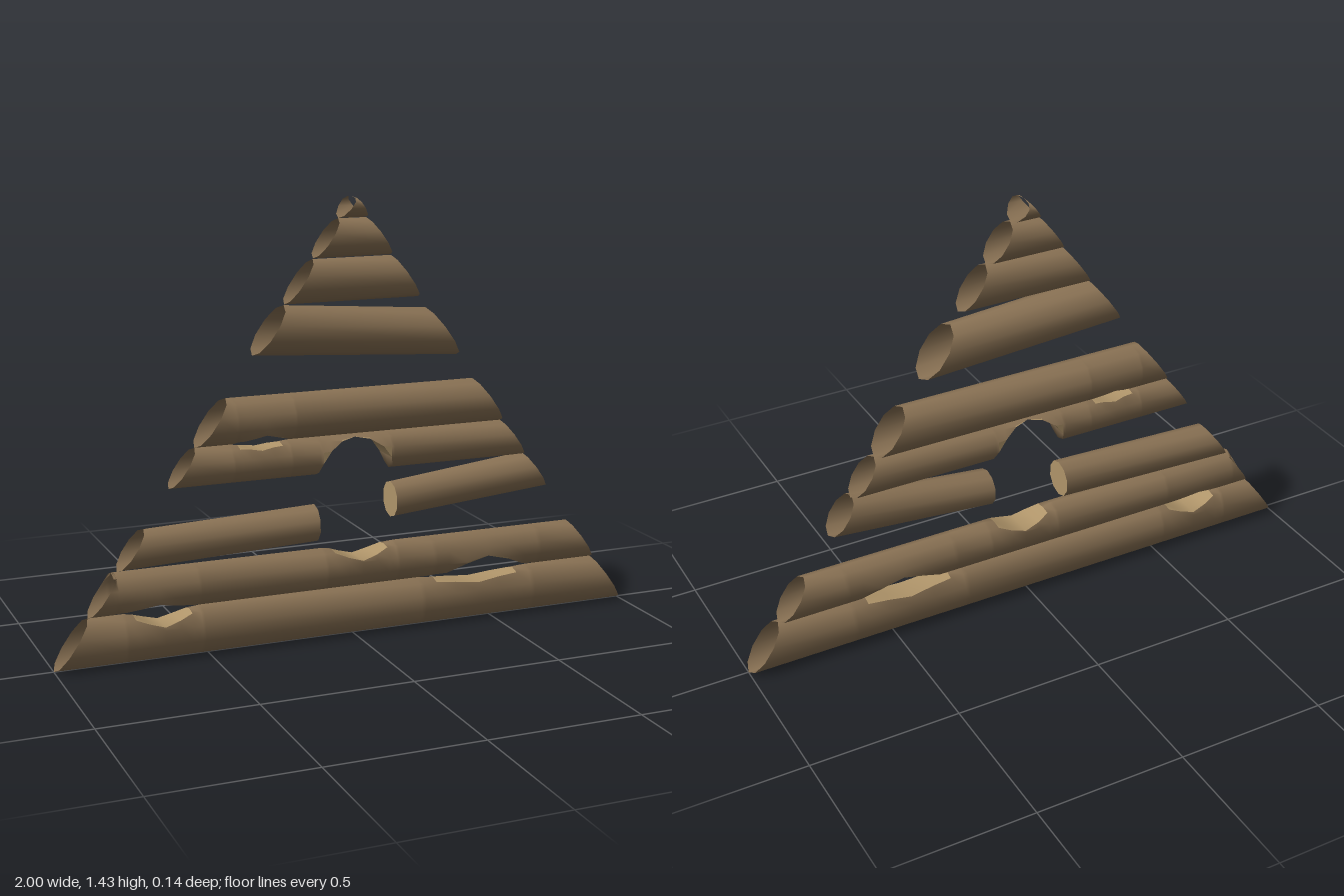
import * as THREE from 'three';

const SIDES = 10;
const PEAK = 1.435;
const bark = new THREE.MeshStandardMaterial({ color: 0x8b7355, side: THREE.DoubleSide });
bark.name = 'bark';
const cutWood = new THREE.MeshStandardMaterial({ color: 0xb0956a, side: THREE.DoubleSide });
cutWood.name = 'cutWood';

const lerp = THREE.MathUtils.lerp;

// Half width of the gable at a height; slanted log ends follow it
const gable = (y) => 1 - y / PEAK;

// Notch profiles, running from 0 at u = -1 and 1 to full depth at u = 0
const hollow = (u) => (1 + Math.cos(u * Math.PI)) / 2;
const arch = (u) => Math.sqrt(Math.max(0, 1 - u * u));

// A notch centred on x; a positive depth cuts down from the top, a negative one up from the bottom
const notch = (x, half, depth, profile = hollow) => ({ x, half, depth, profile });

// A hollow log. left and right give [bottom, top] at the -x and +x ends;
// sawn gives the x of a straight, closed end on the side named by its sign.
function makeLog(name, left, right, depth, { notches = [], sawn = 0, mid = 0.5 } = {}) {
  const endX = (side, y) => (Math.sign(sawn) === side ? Math.abs(sawn) * -side : side * gable(y));
  const x0 = endX(-1, (left[0] + left[1]) / 2), x1 = endX(1, (right[0] + right[1]) / 2);

  // Cross-sections: both ends, plus a few across each notch
  const xs = new Set();
  for (const n of notches) {
    for (let k = -4; k <= 4; k++) xs.add(n.x + n.half * Math.sin((k * Math.PI) / 8));
  }
  const stations = [x0, ...[...xs].sort((a, b) => a - b), x1];
  const last = stations.length - 1;
  const pos = [], clipped = [];

  stations.forEach((s, i) => {
    const f = (s - x0) / (x1 - x0);
    const bottom = lerp(left[0], right[0], f), top = lerp(left[1], right[1], f);
    const centre = lerp(bottom, top, mid);
    const end = i === 0 ? -1 : i === last ? 1 : 0;
    let upper = top, lower = bottom;
    for (const n of notches) {
      const u = (s - n.x) / n.half;
      if (Math.abs(u) >= 1) continue;
      const d = n.depth * n.profile(u);
      if (d > 0) upper = top - d;
      else lower = bottom - d;
    }
    for (let j = 0; j < SIDES; j++) {
      const a = Math.PI / 2 + (j / SIDES) * Math.PI * 2;
      const sin = Math.sin(a);
      const round = centre + sin * (sin > 0 ? top - centre : centre - bottom);
      const y = THREE.MathUtils.clamp(round, lower, upper);
      const isCut = Math.abs(y - round) > 1e-6;
      let z = Math.cos(a) * depth;
      // Slide clipped corners out to the round of the log
      if (isCut && Math.abs(z) > 1e-6) {
        const h = (y - centre) / (y > centre ? top - centre : centre - bottom);
        z = Math.sign(z) * depth * arch(h);
      }
      pos.push(end ? endX(end, y) : s, y, z);
      clipped.push(isCut ? 1 : 0);
    }
  });

  // Skin, sorted into bark and carved faces
  const barkFaces = [], cutFaces = [];
  for (let i = 0; i < last; i++) {
    for (let j = 0; j < SIDES; j++) {
      const k = (j + 1) % SIDES;
      const a = i * SIDES + j, b = a + SIDES, c = i * SIDES + k, d = c + SIDES;
      const carved = clipped[a] + clipped[b] + clipped[c] + clipped[d] >= 3;
      (carved ? cutFaces : barkFaces).push(a, b, c, b, d, c);
    }
  }
  // Flat cap on the sawn end
  for (let j = 1; sawn && j < SIDES - 1; j++) {
    const o = sawn > 0 ? last * SIDES : 0;
    if (sawn > 0) cutFaces.push(o, o + j + 1, o + j);
    else cutFaces.push(o, o + j, o + j + 1);
  }

  const group = new THREE.Group();
  group.name = name;
  const add = (faces, material, part) => {
    if (!faces.length) return;
    const g = new THREE.BufferGeometry();
    g.setAttribute('position', new THREE.Float32BufferAttribute(pos, 3));
    g.setIndex(faces);
    g.computeVertexNormals();
    const mesh = new THREE.Mesh(g, material);
    mesh.name = part;
    group.add(mesh);
  };
  add(barkFaces, bark, 'logBark');
  add(cutFaces, cutWood, 'logCut');
  return group;
}

export function createModel() {
  const model = new THREE.Group();
  model.name = 'logGable';

  // A level log spans the gable between two heights
  const level = (name, bottom, top, depth, options) =>
    model.add(makeLog(name, [bottom, top], [bottom, top], depth, options));

  // Two long logs at the foot, with gaps worn between them
  level('baseLog', 0, 0.16, 0.056, {
    notches: [notch(-0.65, 0.13, 0.045), notch(0.44, 0.21, 0.03)],
  });
  level('secondLog', 0.16, 0.3, 0.056, {
    notches: [notch(-0.67, 0.14, -0.03), notch(0.02, 0.13, 0.044), notch(0.47, 0.2, -0.063)],
  });

  // Short logs either side of the opening
  model.add(makeLog('rightShortLog', [0.3, 0.428], [0.325, 0.45], 0.06, { sawn: 0.132 }));
  model.add(makeLog('leftShortLog', [0.38, 0.5], [0.43, 0.555], 0.06, { sawn: -0.135 }));

  // Log carved into an arch over the opening, and the log resting on it
  level('archLog', 0.548, 0.672, 0.055, {
    notches: [notch(-0.32, 0.1, 0.02), notch(0, 0.128, -0.118, arch)],
  });
  level('lintelLog', 0.672, 0.822, 0.068, { notches: [notch(-0.31, 0.1, -0.031)] });

  // Logs of the peak
  model.add(makeLog('tiltedLog', [0.95, 1.103], [0.906, 1.067], 0.075));
  level('upperLog', 1.105, 1.243, 0.055);
  level('smallLog', 1.245, 1.367, 0.056);
  level('peakLog', 1.368, PEAK, 0.058, { mid: 0.7 });
  return model;
}
